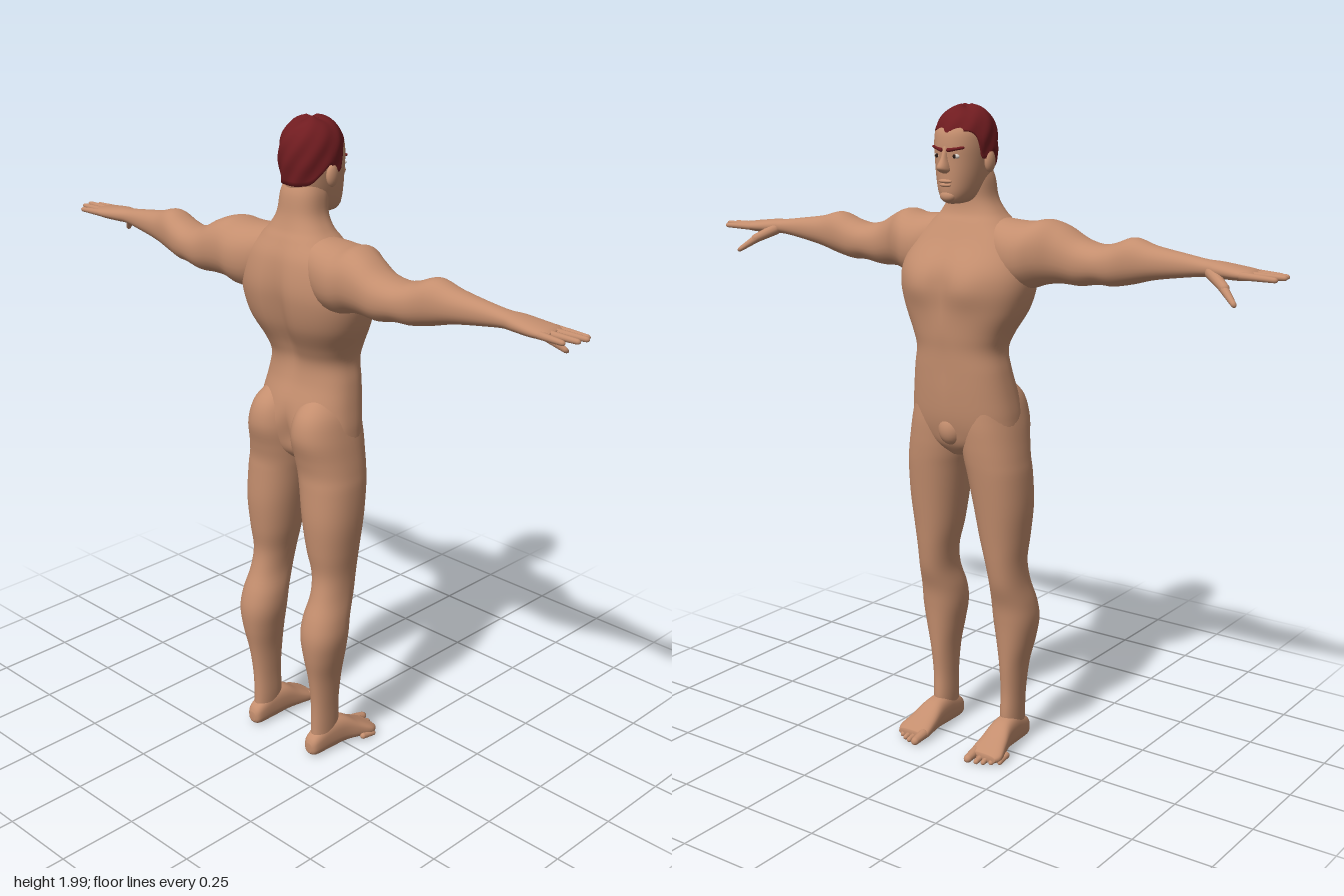
import * as THREE from 'three';

const paint = (name, color) => {
  const m = new THREE.MeshStandardMaterial({ color });
  m.name = name;
  return m;
};
const skin = paint('skin', 0xc48e6e);
const hairRed = paint('hair', 0x701c20);
const eyeWhite = paint('eyeWhite', 0xd6ccc4);
const iris = paint('iris', 0x2c1a14);

const bell = (d, s) => Math.exp(-(d * d) / (s * s));

// Smooth curve through four neighbouring values
function curve(a, b, c, d, t) {
  const cubic = 3 * (b - c) + d - a;
  const square = 2 * a - 5 * b + 4 * c - d;
  return b + 0.5 * t * (c - a + t * (square + t * cubic));
}

// Smooth curve through rows of numbers, returns subdivided rows
function smoothRows(rows, sub) {
  const out = [], n = rows.length - 1;
  for (let i = 0; i < n; i++) {
    const [a, b, c, d] = [rows[Math.max(i - 1, 0)], rows[i], rows[i + 1], rows[Math.min(i + 2, n)]];
    for (let k = 0; k < sub; k++) out.push(b.map((_, j) => curve(a[j], b[j], c[j], d[j], k / sub)));
  }
  out.push(rows[n]);
  return out;
}

// Closed skin over rings of points, with a centre point on each end
function skinRings(rings, mirror) {
  const seg = rings[0].length, pos = [], idx = [];
  const put = (p) => pos.push(mirror ? -p.x : p.x, p.y, p.z);
  rings.forEach((r) => r.forEach(put));
  for (let i = 0; i < rings.length - 1; i++) {
    for (let j = 0; j < seg; j++) {
      const a = i * seg + j, b = i * seg + (j + 1) % seg;
      idx.push(a, a + seg, b, b, a + seg, b + seg);
    }
  }
  const last = rings.length - 1;
  [0, last].forEach((r) => {
    const c = new THREE.Vector3();
    rings[r].forEach((p) => c.addScaledVector(p, 1 / seg));
    const centre = pos.length / 3;
    put(c);
    for (let j = 0; j < seg; j++) {
      const a = r * seg + j, b = r * seg + (j + 1) % seg;
      if (r === 0) idx.push(centre, a, b); else idx.push(centre, b, a);
    }
  });
  // Turn faces outward when the enclosed volume comes out negative
  let volume = 0;
  const v = (i) => new THREE.Vector3().fromArray(pos, i * 3);
  for (let i = 0; i < idx.length; i += 3) volume += v(idx[i]).dot(v(idx[i + 1]).cross(v(idx[i + 2])));
  if (volume < 0) idx.reverse();
  const g = new THREE.BufferGeometry();
  g.setAttribute('position', new THREE.Float32BufferAttribute(pos, 3));
  g.setIndex(idx);
  g.computeVertexNormals();
  return g;
}

// Loft along an axis; each row is [t, uMin, uMax, vMin, vMax]
function loft(axis, rows, { mirror = false, power = 2.2, seg = 32, sub = 5, deform } = {}) {
  const rings = smoothRows(rows, sub).map(([t, u0, u1, v0, v1]) => Array.from({ length: seg }, (_, j) => {
    const a = (j / seg) * Math.PI * 2, c = Math.cos(a), s = Math.sin(a);
    const u = (u0 + u1) / 2 + (u1 - u0) / 2 * Math.sign(c) * Math.abs(c) ** (2 / power);
    const w = (v0 + v1) / 2 + (v1 - v0) / 2 * Math.sign(s) * Math.abs(s) ** (2 / power);
    const p = axis === 'y' ? new THREE.Vector3(u, t, w)
      : axis === 'x' ? new THREE.Vector3(t, u, w) : new THREE.Vector3(u, w, t);
    if (deform) deform(p);
    return p;
  }));
  return skinRings(rings, mirror);
}

const symmetric = (rows) => rows.map(([y, w, f, b]) => [y, -w, w, f, b]);

// Rounded tapering digit between two points
function digit(a, b, r0, r1) {
  const from = new THREE.Vector3(...a), to = new THREE.Vector3(...b), len = from.distanceTo(to);
  const g = new THREE.CapsuleGeometry(r0, len, 5, 12, 4), p = g.attributes.position;
  for (let i = 0; i < p.count; i++) {
    const k = THREE.MathUtils.lerp(1, r1 / r0, THREE.MathUtils.clamp(p.getY(i) / len + 0.5, 0, 1));
    p.setX(i, p.getX(i) * k);
    p.setZ(i, p.getZ(i) * k);
  }
  const dir = to.clone().sub(from).normalize();
  g.applyQuaternion(new THREE.Quaternion().setFromUnitVectors(new THREE.Vector3(0, 1, 0), dir));
  const mid = from.add(to).multiplyScalar(0.5);
  return g.translate(mid.x, mid.y, mid.z);
}

const ball = (x, y, z, rx, ry, rz) => new THREE.SphereGeometry(1, 24, 16).scale(rx, ry, rz).translate(x, y, z);

// Chest, spine and seat modelling
function sculptTorso(p) {
  const { x, y } = p;
  if (p.z < -0.02) {
    p.z -= 0.012 * bell(Math.abs(x) - 0.085, 0.06) * bell(y - 1.47, 0.06);
    p.z += 0.010 * bell(x, 0.02) * bell(y - 1.47, 0.09) + 0.004 * bell(x, 0.015) * bell(y - 1.25, 0.09);
  } else if (p.z > 0.02) {
    p.z -= 0.025 * bell(x, 0.035) * bell(y - 1.42, 0.16) + 0.03 * bell(x, 0.02) * bell(y - 1.05, 0.06);
  }
}

// Hair cap whose lower edge follows the hairline around the head
function hairCap() {
  const line = smoothRows([[0, 1.905], [0.7, 1.915], [1.05, 1.895], [1.25, 1.84], [1.5, 1.84], [1.7, 1.862],
    [2.0, 1.835], [2.4, 1.805], [Math.PI, 1.8]], 6);
  const edge = (phi) => {
    const i = Math.max(1, line.findIndex((r) => r[0] >= phi - 1e-6));
    const [a, b] = [line[i - 1], line[i]];
    return THREE.MathUtils.mapLinear(phi, a[0], b[0], a[1], b[1]);
  };
  const seg = 72, rows = 22, rings = [];
  for (let i = -1; i <= rows; i++) {
    const v = Math.sin(Math.max(i, 0) / rows * Math.PI / 2);
    rings.push(Array.from({ length: seg }, (_, j) => {
      const a = j / seg * Math.PI * 2, phi = Math.min(a, Math.PI * 2 - a);
      const y = THREE.MathUtils.lerp(edge(phi), 1.983, v);
      const k = Math.min(1, Math.max(0, (y - 1.87) / 0.113));
      let s = Math.max(0.02, 1 - k ** 2.5) ** (1 / 2.4) * (1 - Math.max(0, 1.86 - y) * 1.4);
      if (i < 0) s *= 0.82;
      s *= 1 + 0.022 * Math.sin(a * 9 + y * 70) * (1 - k * 0.6);
      const top = k * k * 0.005 * Math.sin(a * 3 + 1);
      return new THREE.Vector3(0.089 * s * Math.sin(a), y + top, -0.006 - 0.1 * s * Math.cos(a));
    }));
  }
  return skinRings(rings, false);
}

export function createModel() {
  const model = new THREE.Group();
  model.name = 'figure';
  const add = (name, geometry, material = skin) => {
    const mesh = new THREE.Mesh(geometry, material);
    mesh.name = name;
    model.add(mesh);
  };

  // Torso and neck: height, half width, front, back
  add('torso', loft('y', symmetric([
    [0.955, 0.03, -0.06, 0.05], [0.99, 0.12, -0.088, 0.09], [1.03, 0.172, -0.102, 0.11],
    [1.08, 0.176, -0.113, 0.118], [1.15, 0.166, -0.12, 0.105], [1.22, 0.154, -0.124, 0.084],
    [1.28, 0.144, -0.127, 0.08], [1.33, 0.16, -0.132, 0.098], [1.4, 0.196, -0.136, 0.135],
    [1.47, 0.214, -0.14, 0.154], [1.53, 0.208, -0.128, 0.158], [1.6, 0.178, -0.084, 0.146],
    [1.65, 0.128, -0.056, 0.124], [1.68, 0.098, -0.04, 0.108], [1.72, 0.075, -0.035, 0.095],
    [1.78, 0.067, -0.04, 0.085], [1.83, 0.05, -0.03, 0.06]]), { seg: 64, sub: 6, power: 2.35, deform: sculptTorso }));
  add('groin', ball(0, 1.04, -0.08, 0.042, 0.05, 0.037));

  // Head
  add('head', loft('y', symmetric([
    [1.708, 0.018, -0.085, -0.02], [1.717, 0.038, -0.1, 0.02], [1.74, 0.054, -0.108, 0.055],
    [1.78, 0.066, -0.11, 0.076], [1.83, 0.074, -0.11, 0.085], [1.88, 0.078, -0.11, 0.087],
    [1.92, 0.075, -0.1, 0.084], [1.955, 0.052, -0.065, 0.06], [1.972, 0.01, -0.02, 0.01]]), { seg: 48 }));
  add('nose', loft('y', symmetric([
    [1.872, 0.009, -0.111, -0.08], [1.84, 0.010, -0.124, -0.08], [1.816, 0.016, -0.14, -0.08],
    [1.804, 0.017, -0.133, -0.08], [1.796, 0.008, -0.115, -0.08]]), { seg: 20 }));
  add('upperLip', ball(0, 1.774, -0.108, 0.024, 0.006, 0.009));
  add('lowerLip', ball(0, 1.763, -0.107, 0.02, 0.006, 0.009));
  add('chin', ball(0, 1.731, -0.094, 0.026, 0.018, 0.018));
  add('hair', hairCap(), hairRed);

  for (const side of [1, -1]) {
    const mirror = side < 0, label = mirror ? 'right' : 'left';
    const X = (p) => [p[0] * side, p[1], p[2]];

    // Face details
    add(label + 'Ear', ball(side * 0.083, 1.828, -0.004, 0.013, 0.032, 0.021));
    add(label + 'Eye', ball(side * 0.031, 1.845, -0.1, 0.014, 0.007, 0.007), eyeWhite);
    add(label + 'Iris', ball(side * 0.031, 1.845, -0.1055, 0.0055, 0.006, 0.003), iris);
    add(label + 'Eyebrow', digit(X([0.013, 1.862, -0.11]), X([0.051, 1.869, -0.093]), 0.006, 0.004), hairRed);

    // Arm and palm: x, bottom, top, front, back
    add(label + 'Arm', loft('x', [
      [0.06, 1.53, 1.67, -0.02, 0.11], [0.14, 1.47, 1.662, -0.06, 0.135], [0.2, 1.465, 1.66, -0.062, 0.148],
      [0.25, 1.48, 1.668, -0.04, 0.147], [0.3, 1.486, 1.652, -0.012, 0.146], [0.36, 1.484, 1.62, 0, 0.144],
      [0.42, 1.494, 1.608, 0, 0.136], [0.47, 1.494, 1.617, -0.001, 0.126], [0.53, 1.506, 1.637, 0.001, 0.114],
      [0.6, 1.525, 1.62, 0.009, 0.1], [0.7, 1.542, 1.605, 0.02, 0.086], [0.76, 1.55, 1.597, 0.019, 0.081],
      [0.8, 1.55, 1.595, 0.008, 0.088], [0.86, 1.55, 1.588, 0.001, 0.093], [0.895, 1.554, 1.583, 0, 0.09],
      [0.91, 1.562, 1.576, 0.012, 0.078]], { mirror }));

    // Fingers and thumb
    [[0.01, 0.975, 0], [0.032, 0.991, 0.004], [0.056, 0.984, 0.003], [0.08, 0.958, 0]].forEach(([z, tip, lift], i) => {
      add(label + 'Finger' + (i + 1),
        digit(X([0.88, 1.568, z]), X([tip, 1.566 + lift, z + (z - 0.04) * 0.15]), 0.0115, 0.0075));
    });
    add(label + 'ThumbBase', digit(X([0.785, 1.565, 0.025]), X([0.84, 1.535, -0.008]), 0.018, 0.014));
    add(label + 'Thumb', digit(X([0.835, 1.537, -0.006]), X([0.882, 1.501, -0.036]), 0.0135, 0.008));

    // Leg with buttock and calf: height, inner, outer, front, back
    add(label + 'Leg', loft('y', [
      [1.2, 0.06, 0.11, -0.04, 0.05], [1.14, 0.02, 0.156, -0.09, 0.122], [1.07, 0.004, 0.177, -0.1, 0.142],
      [1.0, 0.003, 0.19, -0.098, 0.127], [0.95, 0.008, 0.198, -0.094, 0.118], [0.9, 0.018, 0.204, -0.088, 0.119],
      [0.8, 0.035, 0.205, -0.074, 0.121], [0.7, 0.053, 0.195, -0.06, 0.112], [0.62, 0.072, 0.186, -0.049, 0.101],
      [0.55, 0.079, 0.188, -0.036, 0.114], [0.48, 0.07, 0.199, -0.013, 0.14], [0.42, 0.07, 0.202, -0.004, 0.152],
      [0.35, 0.082, 0.19, 0.002, 0.146], [0.27, 0.095, 0.172, 0.008, 0.13], [0.18, 0.1, 0.163, 0.015, 0.119],
      [0.1, 0.1, 0.16, 0.013, 0.118], [0.04, 0.104, 0.158, 0.02, 0.12]], { mirror, seg: 40 }));

    // Foot: z, inner, outer, sole, top
    add(label + 'Foot', loft('z', [
      [0.138, 0.118, 0.142, 0.014, 0.045], [0.122, 0.103, 0.157, 0.002, 0.07], [0.06, 0.098, 0.164, 0, 0.1],
      [0, 0.094, 0.172, 0.002, 0.096], [-0.05, 0.089, 0.186, 0.001, 0.066], [-0.092, 0.086, 0.197, 0, 0.042],
      [-0.115, 0.092, 0.186, 0.006, 0.03]], { mirror, power: 2.6 }));
    for (let i = 0; i < 5; i++) {
      const x = i ? 0.11 + i * 0.0195 : 0.103, z = -0.137 + i * i * 0.0022 + i * 0.002, r = i ? 0.0105 : 0.0165;
      add(label + 'Toe' + (i + 1), digit(X([x, r + 0.004, z + 0.04]), X([x + i * 0.001, r * 0.8, z]), r, r * 0.8));
    }
  }
  return model;
}
